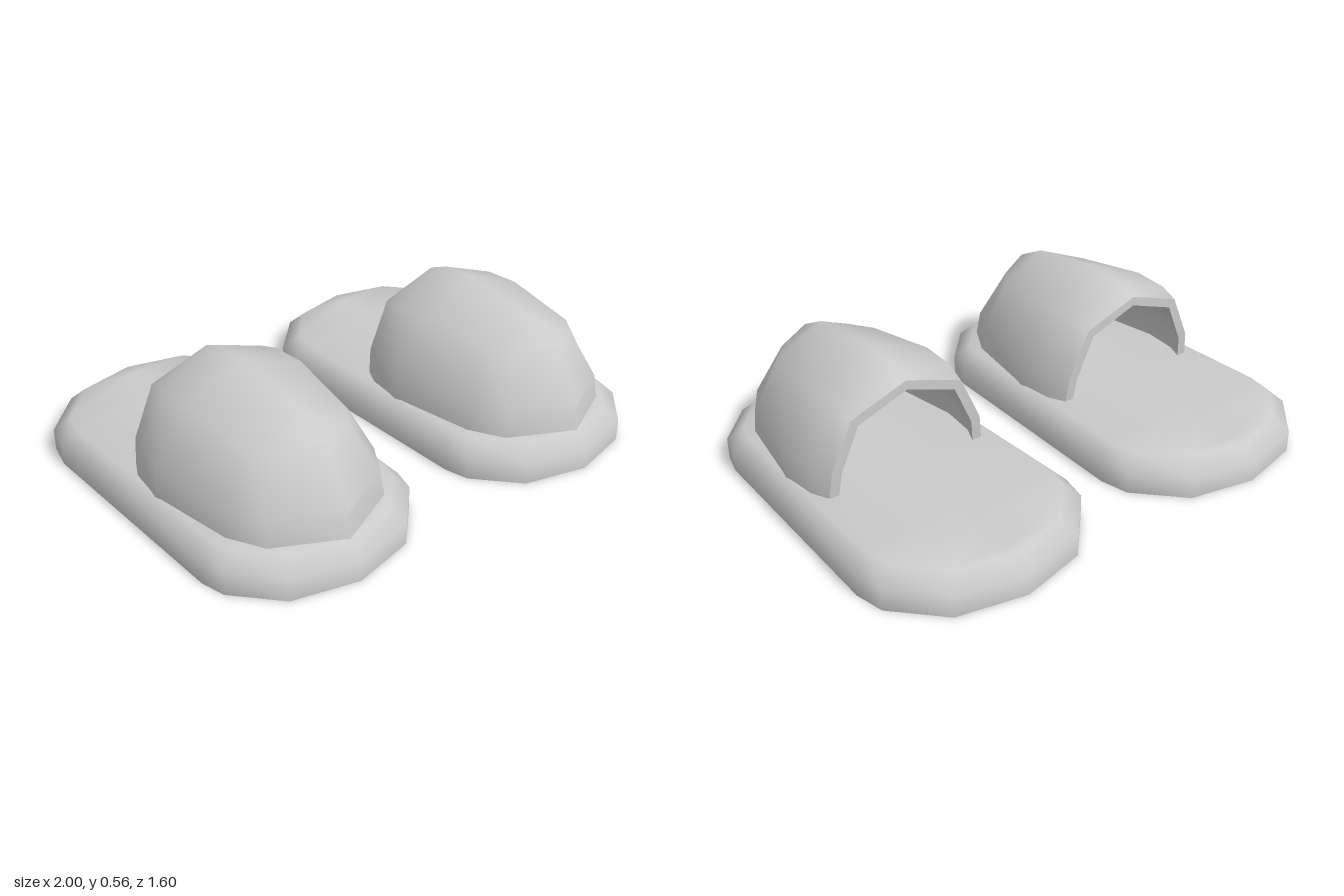
import * as THREE from 'three';
import { toCreasedNormals } from 'three/addons/utils/BufferGeometryUtils.js';

const material = new THREE.MeshStandardMaterial({ color: 0xcccccc });

// Triangles between successive rows of points, leaving out collapsed ones
function skin(rows, closed = false, out = []) {
  const n = rows[0].length;
  const tri = (a, b, c) => {
    const area = b.clone().sub(a).cross(c.clone().sub(a)).length();
    if (area > 1e-7) for (const p of [a, b, c]) out.push(p.x, p.y, p.z);
  };
  for (let j = 0; j < rows.length - 1; j++) {
    for (let i = 0; i < (closed ? n : n - 1); i++) {
      const k = (i + 1) % n;
      const a = rows[j][i], b = rows[j][k], c = rows[j + 1][k], d = rows[j + 1][i];
      tri(a, d, c);
      tri(a, c, b);
    }
  }
  return out;
}

function makeGeometry(positions, crease) {
  const g = new THREE.BufferGeometry();
  g.setAttribute('position', new THREE.Float32BufferAttribute(positions, 3));
  return toCreasedNormals(g, crease);
}

// Mirror a half row (x >= 0, ending on the centre line) into a full one
function mirrorRow(half) {
  const right = half.map(([x, y, z]) => new THREE.Vector3(x, y, z));
  const left = right.slice(0, -1).reverse().map((p) => new THREE.Vector3(-p.x, p.y, p.z));
  return [...right, ...left];
}

function soleGeometry() {
  // Half outline from heel to toe as [x, z]
  const outline = [
    [0, -0.8], [0.265, -0.74], [0.43, -0.565], [0.455, -0.45],
    [0.425, 0.48], [0.4, 0.575], [0.25, 0.735], [0, 0.797],
  ];
  const ring = (y, sx, sz) => {
    const row = mirrorRow(outline.map(([x, z]) => [x * sx, y, z * sz]));
    row.pop(); // the heel point is shared by both halves
    return row;
  };
  // Flat bottom, upright wall, bevel, flat top
  const rows = [
    ring(0, 0, 1), ring(0, 1, 1), ring(0.085, 1, 1), ring(0.14, 0.87, 0.925), ring(0.14, 0, 0.925),
  ];
  return makeGeometry(skin(rows, true), 1.1);
}

function upperGeometry() {
  // Half rows from the rear opening to the toe, stacked from foot to ridge
  const halves = [
    [[0.335, 0.13, -0.09], [0.368, 0.13, -0.02], [0.385, 0.13, 0.13],
      [0.325, 0.13, 0.48], [0.25, 0.13, 0.615], [0, 0.13, 0.74]],
    [[0.322, 0.24, -0.1], [0.355, 0.24, -0.02], [0.372, 0.24, 0.13],
      [0.315, 0.235, 0.475], [0.24, 0.235, 0.6], [0, 0.235, 0.727]],
    [[0.235, 0.43, -0.105], [0.248, 0.452, -0.02], [0.25, 0.46, 0.13],
      [0.215, 0.425, 0.45], [0.15, 0.43, 0.53], [0, 0.445, 0.61]],
    [[0, 0.51, -0.105], [0, 0.545, -0.02], [0, 0.56, 0.13],
      [0, 0.51, 0.48], [0, 0.51, 0.48], [0, 0.51, 0.48]],
  ];
  const outer = halves.map(mirrorRow);
  const inner = outer.map((row) => row.map((p) => new THREE.Vector3(
    p.x * 0.88, 0.13 + (p.y - 0.13) * 0.9, p.z > 0 ? p.z * 0.94 : p.z)));

  // Edge of the rear opening, running over the arch
  const arch = (rows) => [
    ...rows.map((r) => r[0]),
    ...rows.slice(0, -1).reverse().map((r) => r[r.length - 1]),
  ];
  const positions = skin(outer);
  skin([...inner].reverse(), false, positions); // lining faces inward
  skin([arch(outer), arch(inner)], false, positions); // rim
  return makeGeometry(positions, 0.95);
}

export function createModel() {
  const model = new THREE.Group();
  model.name = 'slippers';
  const sole = soleGeometry();
  const upper = upperGeometry();
  for (const [name, x] of [['leftSlipper', 0.545], ['rightSlipper', -0.545]]) {
    const slipper = new THREE.Group();
    slipper.name = name;
    slipper.position.x = x;
    for (const [part, geometry] of [['sole', sole], ['upper', upper]]) {
      const mesh = new THREE.Mesh(geometry, material);
      mesh.name = part;
      slipper.add(mesh);
    }
    model.add(slipper);
  }
  return model;
}
